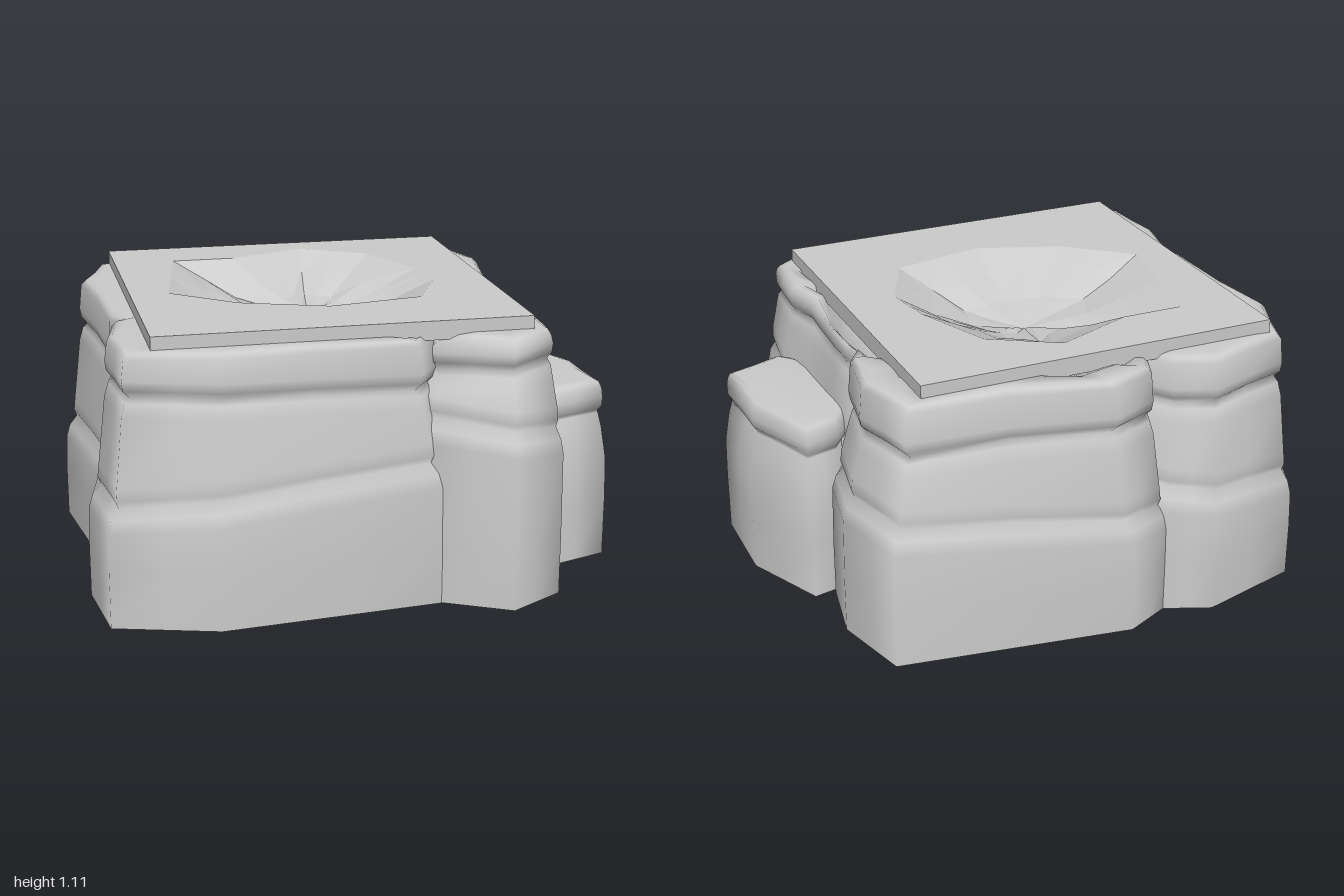
import * as THREE from 'three';

const material = new THREE.MeshStandardMaterial({ color: 0xcccccc, side: THREE.DoubleSide });
const flatMaterial = new THREE.MeshStandardMaterial({ color: 0xcccccc, side: THREE.DoubleSide, flatShading: true });

// Split every edge of an outline so that shading stays soft along it.
function subdivide(points, n) {
  return points.flatMap(([x, z], i) => {
    const [x2, z2] = points[(i + 1) % points.length];
    return Array.from({ length: n }, (_, k) => [x + (x2 - x) * k / n, z + (z2 - z) * k / n]);
  });
}

// Loft an outline through rings; ring = [inset, height(x, z)].
function loft(outline, rings, mat, closeTop) {
  const pts = subdivide(outline, 2), n = pts.length;
  const cx = pts.reduce((s, p) => s + p[0], 0) / n, cz = pts.reduce((s, p) => s + p[1], 0) / n;
  const pos = [], index = [];
  // Rock tops sink towards the middle to leave room for the basin.
  const sink = (x, z, y) => Math.min(y, 0.86 + 0.22 * THREE.MathUtils.smoothstep(Math.hypot(x, z), 0.5, 0.72));
  for (const [inset, height] of rings) {
    for (const [px, pz] of pts) {
      const d = Math.hypot(px - cx, pz - cz), k = 1 - inset / d;
      const x = cx + (px - cx) * k, z = cz + (pz - cz) * k;
      pos.push(x, sink(x, z, height(px, pz)), z);
    }
  }
  for (let j = 0; j < rings.length - 1; j++) {
    for (let i = 0; i < n; i++) {
      const a = j * n + i, b = j * n + (i + 1) % n;
      index.push(a, b, b + n, a, b + n, a + n);
    }
  }
  if (closeTop) {
    const last = (rings.length - 1) * n;
    pos.push(cx, sink(cx, cz, rings[rings.length - 1][1](cx, cz)), cz);
    for (let i = 0; i < n; i++) index.push(last + i, last + (i + 1) % n, pos.length / 3 - 1);
  }
  const geo = new THREE.BufferGeometry();
  geo.setAttribute('position', new THREE.Float32BufferAttribute(pos, 3));
  geo.setIndex(index);
  geo.computeVertexNormals();
  return new THREE.Mesh(geo, mat);
}

// Tall rock with two tilted grooves; low and high give groove heights.
function layeredRock(name, outline, low, high) {
  const at = y => () => y;
  const near = (f, d) => (x, z) => f(x, z) + d;
  const mesh = loft(outline, [
    [0, at(0.07)], [0, at(0.28)], [0.005, near(low, -0.09)], [0.02, near(low, -0.04)],
    [0.05, near(low, 0)], [0.04, near(low, 0.025)], [0.045, near(low, 0.07)],
    [0.075, near(high, -0.07)], [0.09, near(high, -0.02)], [0.11, near(high, 0)],
    [0.085, near(high, 0.025)], [0.08, near(high, 0.06)], [0.09, at(1.035)],
    [0.11, at(1.055)], [0.14, at(1.062)], [0.22, at(1.062)],
  ], material, true);
  mesh.name = name;
  return mesh;
}

// Ring outline of the basin.
const basinRim = [[-0.54, -0.45], [-0.3, -0.45], [0, -0.57], [0.25, -0.42], [0.37, -0.12], [0.4, 0.07],
  [0.28, 0.33], [-0.08, 0.4], [-0.4, 0.28], [-0.63, 0.08]];

function createSlab() {
  const shape = new THREE.Shape();
  shape.moveTo(-0.775, -0.69).lineTo(0.6, -0.69).lineTo(0.6, 0.69).lineTo(-0.775, 0.69).closePath();
  shape.holes.push(new THREE.Path(basinRim.map(([x, z]) => new THREE.Vector2(x, z))));
  const geo = new THREE.ExtrudeGeometry(shape, { depth: 0.07, bevelEnabled: false });
  geo.rotateX(Math.PI / 2).translate(0, 1.11, 0);
  const slab = new THREE.Mesh(geo, flatMaterial);
  slab.name = 'topSlab';
  return slab;
}

function createBasin() {
  const rim = [...basinRim].reverse();
  const bump = (x, z) => 0.015 * Math.sin(7 * x + 3) * Math.cos(6 * z);
  const basin = loft(rim, [
    [0, () => 1.11], [0.14, (x, z) => 1.05 + bump(x, z)],
    [0.28, (x, z) => 0.99 + bump(x, z)], [0.38, () => 0.97],
  ], flatMaterial, true);
  // The basin keeps its own depths, free of the sinking used for rocks.
  const p = basin.geometry.attributes.position, n = rim.length * 2;
  const depths = [1.11, 1.05, 0.99, 0.97, 0.96];
  for (let i = 0; i < p.count; i++) {
    const ring = Math.floor(i / n);
    p.setY(i, depths[ring] + (ring % 4 ? bump(p.getX(i), p.getZ(i)) : 0));
  }
  basin.geometry.computeVertexNormals();
  basin.name = 'basin';
  return basin;
}

// Shallow sagging underside, open beneath each corner rock.
function createUnderside() {
  const edge = [[-0.9, 0.7], [-0.55, 0.8], [0.2, 0.74], [0.65, 0.72], [0.7, -0.1], [0.72, -0.72],
    [-0.13, -0.84], [-0.8, -0.74], [-0.92, -0.4]];
  const shape = new THREE.Shape(edge.map(([x, z]) => new THREE.Vector2(x, z)));
  for (const [x, z, r] of [[-0.48, 0.42, 0.26], [0.42, 0.4, 0.22], [0.38, -0.42, 0.27], [-0.5, -0.4, 0.26]]) {
    const hole = new THREE.Path();
    hole.absarc(x, z, r, 0, Math.PI * 2);
    shape.holes.push(hole);
  }
  const geo = new THREE.ShapeGeometry(shape, 5);
  geo.rotateX(Math.PI / 2);
  const p = geo.attributes.position;
  for (let i = 0; i < p.count; i++) {
    const r = Math.hypot(p.getX(i), p.getZ(i));
    p.setY(i, 0.07 * THREE.MathUtils.clamp((r - 0.34) / 0.45, 0, 1));
  }
  geo.computeVertexNormals();
  const mesh = new THREE.Mesh(geo, flatMaterial);
  mesh.name = 'underside';
  return mesh;
}

export function createModel() {
  const group = new THREE.Group();
  group.name = 'rockPedestal';

  // Four corner rocks
  group.add(
    layeredRock('frontLeftwardRock',
      [[-0.94, 0.19], [-0.99, 0.43], [-0.95, 0.75], [-0.57, 0.86], [0.25, 0.78], [0.38, 0.58],
        [0.1, 0.32], [-0.4, 0.15], [-0.74, 0.02]],
      x => 0.585 + 0.08 * x, x => 0.878 - 0.025 * x),
    layeredRock('frontCornerRock',
      [[0.2, 0.75], [0.49, 0.905], [0.7, 0.78], [0.75, 0.52], [0.72, 0.1], [0.69, -0.18], [0.52, -0.4],
        [0.3, -0.1], [0.08, 0.45]],
      (x, z) => 0.71 - 0.12 * (x - 0.45) + 0.03 * z, x => 0.93 + 0.04 * (x - 0.25)),
    layeredRock('backCornerRock',
      [[0.62, 0.02], [0.78, -0.22], [0.83, -0.48], [0.75, -0.78], [-0.13, -0.91], [-0.32, -0.82],
        [-0.42, -0.55], [0.05, -0.25]],
      x => 0.535 + 0.1 * x, () => 0.865),
    layeredRock('backLeftwardRock',
      [[-0.12, -0.6], [-0.3, -0.83], [-0.47, -0.9], [-0.86, -0.79], [-1, -0.46], [-0.9, 0.24],
        [-0.76, 0.42], [-0.4, 0.05]],
      x => 0.6 + 0.11 * x, () => 0.88),
  );

  // Small rock leaning against the side
  const sideRock = loft(
    [[0.74, 0.53], [0.995, 0.44], [1, 0.09], [0.86, -0.22], [0.72, -0.19], [0.55, 0], [0.55, 0.35]],
    [[0, 0.07], [0, 0.3], [0.005, 0.46], [0.03, 0.58], [0.048, 0.635], [0.05, 0.645], [0.032, 0.665],
      [0.03, 0.7], [0.036, 0.735], [0.05, 0.758], [0.08, 0.767]].map(([inset, y]) => [inset, () => y]),
    material, true);
  sideRock.name = 'sideRock';

  group.add(sideRock, createSlab(), createBasin(), createUnderside());
  return group;
}
